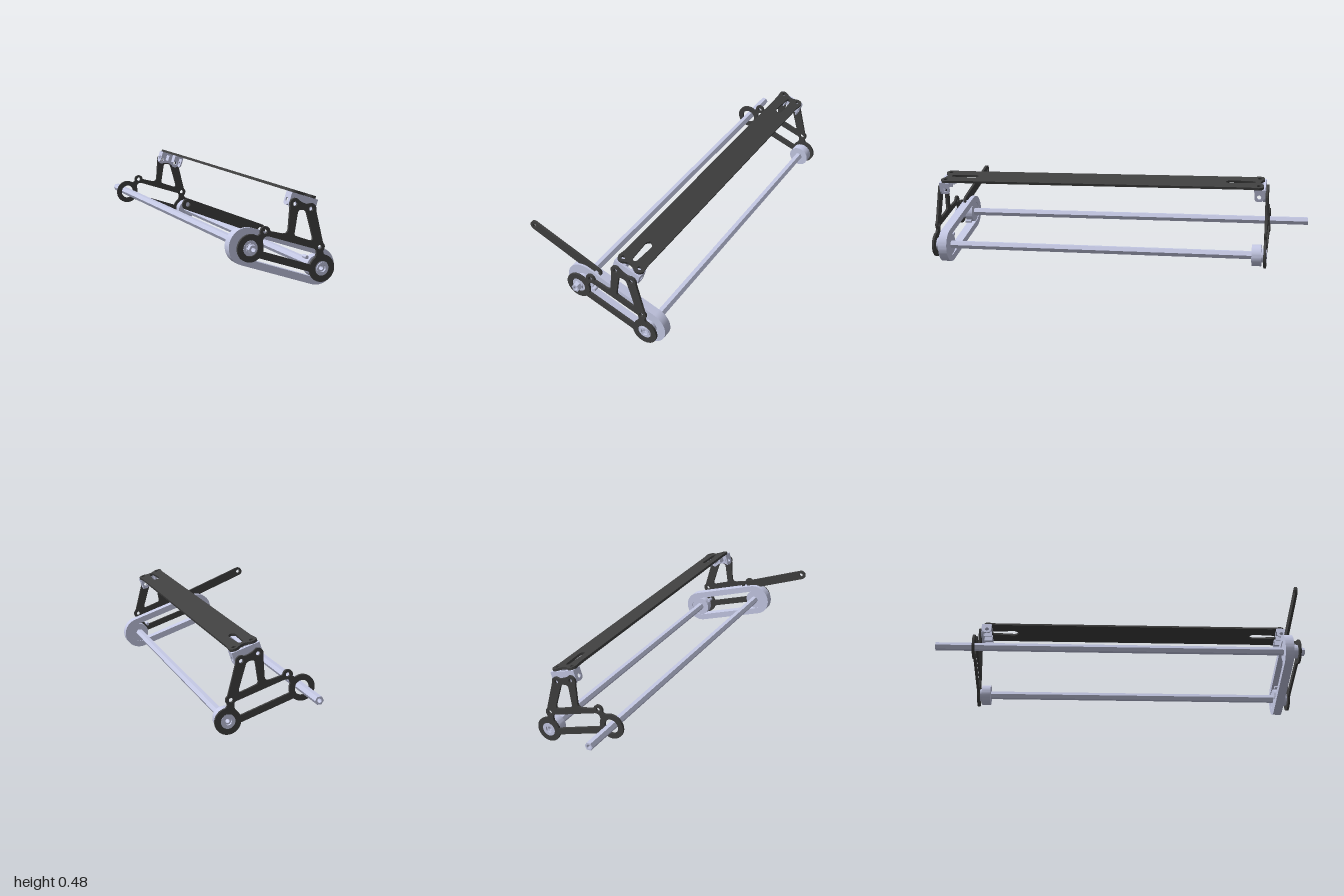
import * as THREE from 'three';
import { toCreasedNormals } from 'three/addons/utils/BufferGeometryUtils.js';

const dark = new THREE.MeshStandardMaterial({ color: 0x404040 });
dark.name = 'charcoal';
const metal = new THREE.MeshStandardMaterial({ color: 0xc6cae6 });
metal.name = 'pale metal';

const DEG = Math.PI / 180;
// Joint centres in the x-y plane
const A = [-0.077, 0.217], B = [0.298, 0.09], C = [-0.003, 0.29];
const D = [0.149, 0.409], E = [0.233, 0.38], F = [0.284, 0.194];
const MID = 0.087; // z halfway between the two side plates

function circle(c, r, Type = THREE.Path) {
  const p = new Type();
  p.absarc(c[0], c[1], r, 0, Math.PI * 2, false);
  return p;
}

// Clockwise arc given in degrees, joined to the path so far
function arc(p, c, r, from, to) {
  p.absarc(c[0], c[1], r, from * DEG, to * DEG, true);
}

// Rounded link around two points
function stadium(p, q, r, Type = THREE.Path) {
  const s = new Type();
  const a = Math.atan2(q[1] - p[1], q[0] - p[0]) / DEG;
  arc(s, p, r, a - 90, a - 270);
  arc(s, q, r, a + 90, a - 90);
  s.closePath();
  return s;
}

// Extrude along z; outlines are made counter-clockwise so hole walls face outward
function extrude(shape, z0, z1) {
  const points = shape.getPoints(20);
  if (THREE.ShapeUtils.isClockWise(points)) points.reverse();
  const outline = new THREE.Shape(points);
  outline.holes = shape.holes;
  const g = new THREE.ExtrudeGeometry(outline, { depth: z1 - z0, bevelEnabled: false, curveSegments: 20 });
  g.translate(0, 0, z0);
  return toCreasedNormals(g, 35 * DEG);
}

function add(parent, name, geometry, material) {
  const m = new THREE.Mesh(geometry, material);
  m.name = name;
  parent.add(m);
  return m;
}

function ring(c, r, inner, z0, z1) {
  const s = circle(c, r, THREE.Shape);
  s.holes.push(circle(c, inner));
  return extrude(s, z0, z1);
}

// Hollow hexagonal bar
function hexBar(c, r, inner, turn, z0, z1) {
  const s = new THREE.Shape();
  for (let i = 0; i < 6; i++) {
    const a = (turn + i * 60) * DEG, x = c[0] + r * Math.cos(a), y = c[1] + r * Math.sin(a);
    i ? s.lineTo(x, y) : s.moveTo(x, y);
  }
  s.closePath();
  s.holes.push(circle(c, inner));
  return extrude(s, z0, z1);
}

function sidePlateShape() {
  const s = new THREE.Shape();
  arc(s, A, 0.066, -49, -303);
  arc(s, C, 0.025, 200, 0);
  s.lineTo(0.085, 0.274);
  s.quadraticCurveTo(0.112, 0.268, 0.116, 0.292);
  arc(s, D, 0.027, 200, 60);
  s.quadraticCurveTo(0.175, 0.415, 0.215, 0.403);
  arc(s, E, 0.027, 95, -15);
  s.lineTo(0.3, 0.215);
  arc(s, F, 0.026, 45, -40);
  s.quadraticCurveTo(0.298, 0.165, 0.312, 0.155);
  arc(s, B, 0.066, 78, -170);
  s.closePath();

  // Long slot between the bosses
  const slot = new THREE.Path();
  slot.moveTo(-0.014, 0.197);
  slot.lineTo(0.236, 0.113);
  arc(slot, B, 0.066, 158, 122);
  slot.quadraticCurveTo(0.274, 0.182, 0.258, 0.187);
  slot.lineTo(0.012, 0.267);
  slot.quadraticCurveTo(-0.012, 0.27, -0.016, 0.245);
  arc(slot, A, 0.066, 22, -18);

  // Window between the legs
  const win = new THREE.Path();
  win.moveTo(0.163, 0.367);
  win.quadraticCurveTo(0.166, 0.379, 0.18, 0.379);
  win.lineTo(0.193, 0.377);
  win.quadraticCurveTo(0.207, 0.374, 0.211, 0.36);
  win.lineTo(0.245, 0.243);
  win.quadraticCurveTo(0.248, 0.226, 0.23, 0.23);
  win.lineTo(0.158, 0.256);
  win.quadraticCurveTo(0.147, 0.26, 0.148, 0.272);
  win.closePath();

  s.holes.push(slot, win, circle(A, 0.038), circle(B, 0.036));
  for (const c of [C, D, E, F]) s.holes.push(circle(c, 0.011));
  return s;
}

// Long plank with eared ends; shape x runs across, shape y along the length
function plankShape() {
  const s = new THREE.Shape(), e = 0.046, l = 0.84, r = 0.026, w = 0.066;
  s.moveTo(-w, -l + 0.05);
  s.lineTo(-w, l - 0.05);
  arc(s, [-e, l], r, 190, 50);
  s.quadraticCurveTo(0, l - 0.005, e - 0.017, l + 0.02);
  arc(s, [e, l], r, 130, -10);
  s.lineTo(w, l - 0.05);
  s.lineTo(w, -l + 0.05);
  arc(s, [e, -l], r, 10, -130);
  s.quadraticCurveTo(0, -l + 0.005, -e + 0.017, -l - 0.02);
  arc(s, [-e, -l], r, -50, -190);
  s.closePath();
  for (const k of [-1, 1]) {
    const slot = new THREE.Path();
    slot.moveTo(-0.012, k * 0.81);
    slot.lineTo(-0.018, k * 0.69);
    slot.quadraticCurveTo(0, k * 0.645, 0.018, k * 0.69);
    slot.lineTo(0.012, k * 0.81);
    slot.quadraticCurveTo(0, k * 0.835, -0.012, k * 0.81);
    s.holes.push(slot, circle([-e, k * l], 0.011), circle([e, k * l], 0.011));
  }
  return s;
}

export function createModel() {
  const model = new THREE.Group();
  model.name = 'beltDrivenFrame';

  // Matching side plates
  const plate = extrude(sidePlateShape(), -0.006, 0.006);
  add(model, 'frontSidePlate', plate, dark).position.z = MID + 0.88;
  add(model, 'backSidePlate', plate, dark).position.z = MID - 0.88;

  // Lever arm
  const tip = [-0.363, 0.431];
  const arm = stadium(tip, C, 0.025, THREE.Shape);
  arm.holes.push(circle(tip, 0.011), circle(C, 0.011));
  add(model, 'leverArm', extrude(arm, 0.905, 0.918), dark);

  // Shafts
  add(model, 'longShaft', hexBar(A, 0.022, 0.011, 0, -1, 1), metal);
  add(model, 'shortShaft', hexBar(B, 0.022, 0.011, 0, -0.79, 0.965), metal);

  // Belt loop with its pulleys and hubs
  const belt = stadium(A, B, 0.09, THREE.Shape);
  belt.holes.push(stadium(A, B, 0.055));
  add(model, 'belt', extrude(belt, 0.882, 0.929), metal);
  for (const c of [A, B]) {
    add(model, 'pulley', ring(c, 0.055, 0.018, 0.886, 0.925), metal);
    add(model, 'pulleyHub', ring(c, 0.038, 0.018, 0.925, 0.955), metal);
    add(model, 'bearing', ring(c, 0.036, 0.018, 0.955, 0.97), metal);
  }
  add(model, 'shaftNut', hexBar(A, 0.026, 0.018, 30, 0.965, 0.975), metal);
  add(model, 'bearingCollar', ring(B, 0.028, 0.018, 0.965, 0.976), metal);
  for (const c of [[-0.027, 0.168], [0.243, 0.138]])
    add(model, 'pulleyLug', extrude(circle(c, 0.009, THREE.Shape), 0.89, 0.925), metal);

  // Roller and bearing at the back end of the short shaft
  add(model, 'backRoller', ring(B, 0.055, 0.018, -0.775, -0.727), metal);
  add(model, 'backBearing', ring(B, 0.036, 0.018, -0.8, -0.77), metal);

  // Tilted top: plank and end brackets
  const top = new THREE.Group();
  top.name = 'tiltedTop';
  top.position.set(0.211, 0.453, MID);
  top.rotation.z = -18 * DEG;
  model.add(top);
  const plank = extrude(plankShape(), -0.013, 0);
  plank.rotateX(-Math.PI / 2);
  add(top, 'plank', plank, dark);

  const flange = new THREE.Shape();
  flange.moveTo(-0.072, -0.013);
  flange.lineTo(0.072, -0.013);
  arc(flange, [0.045, -0.06], 0.027, 0, -100);
  flange.quadraticCurveTo(0, -0.058, -0.04, -0.086);
  arc(flange, [-0.045, -0.06], 0.027, -80, -180);
  flange.closePath();
  for (const x of [-0.045, 0.045]) flange.holes.push(circle([x, -0.061], 0.011));
  const flangeGeo = extrude(flange, -0.006, 0.006);

  // Bracket cheek with a bolt hole, turned to face sideways
  const cheek = new THREE.Shape();
  cheek.moveTo(-0.024, -0.013);
  cheek.lineTo(-0.024, -0.055);
  cheek.quadraticCurveTo(-0.024, -0.078, 0, -0.078);
  cheek.quadraticCurveTo(0.024, -0.078, 0.024, -0.055);
  cheek.lineTo(0.024, -0.013);
  cheek.closePath();
  cheek.holes.push(circle([0, -0.052], 0.011));
  const cheekGeo = extrude(cheek, -0.0035, 0.0035).rotateY(Math.PI / 2);

  for (const k of [-1, 1]) {
    const bracket = new THREE.Group();
    bracket.name = k > 0 ? 'frontBracket' : 'backBracket';
    top.add(bracket);
    add(bracket, 'uprightFlange', flangeGeo, metal).position.z = k * 0.867;
    for (const x of [-0.046, 0.046]) {
      // Flat pads under the plank ears
      add(bracket, 'pad', new THREE.BoxGeometry(0.05, 0.012, 0.05), metal).position.set(x, -0.019, k * 0.842);
      add(bracket, 'cheek', cheekGeo, metal).position.set(x * 1.49, 0, k * 0.842);
      add(bracket, 'gusset', new THREE.BoxGeometry(0.007, 0.045, 0.045), metal).position.set(x * 0.42, -0.036, k * 0.84);
    }
  }
  return model;
}
